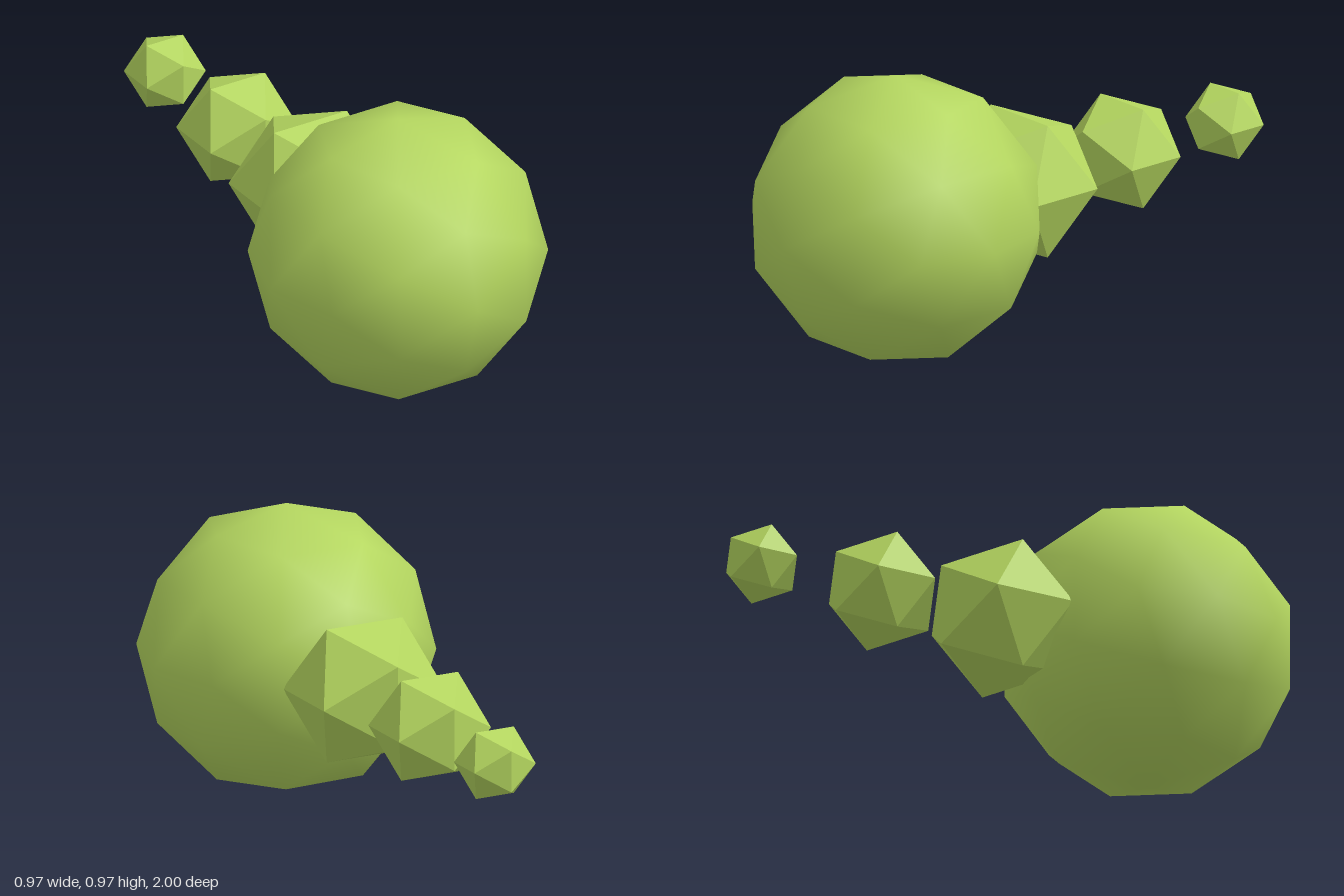
import * as THREE from 'three';

export function createModel() {
  const group = new THREE.Group();
  const green = new THREE.MeshStandardMaterial({ color: 0xb4d65f });
  green.name = 'leafGreen';

  const s = 0.439; // overall scale
  const centreY = 1.1 * s;
  const headZ = 1 - 1.1 * s;

  // Each ball: name, radius, distance behind the head, subdivision
  const balls = [
    ['head', 1.1, 0, 1], // smooth-shaded
    ['bodySegment', 0.6, 1.2, 0], // faceted
    ['middleSegment', 0.45, 2.2, 0],
    ['tailSegment', 0.3, 3.2, 0],
  ];
  for (const [name, radius, back, detail] of balls) {
    const mesh = new THREE.Mesh(new THREE.IcosahedronGeometry(radius * s, detail), green);
    mesh.name = name;
    mesh.position.set(0, centreY, headZ - back * s);
    group.add(mesh);
  }
  return group;
}
